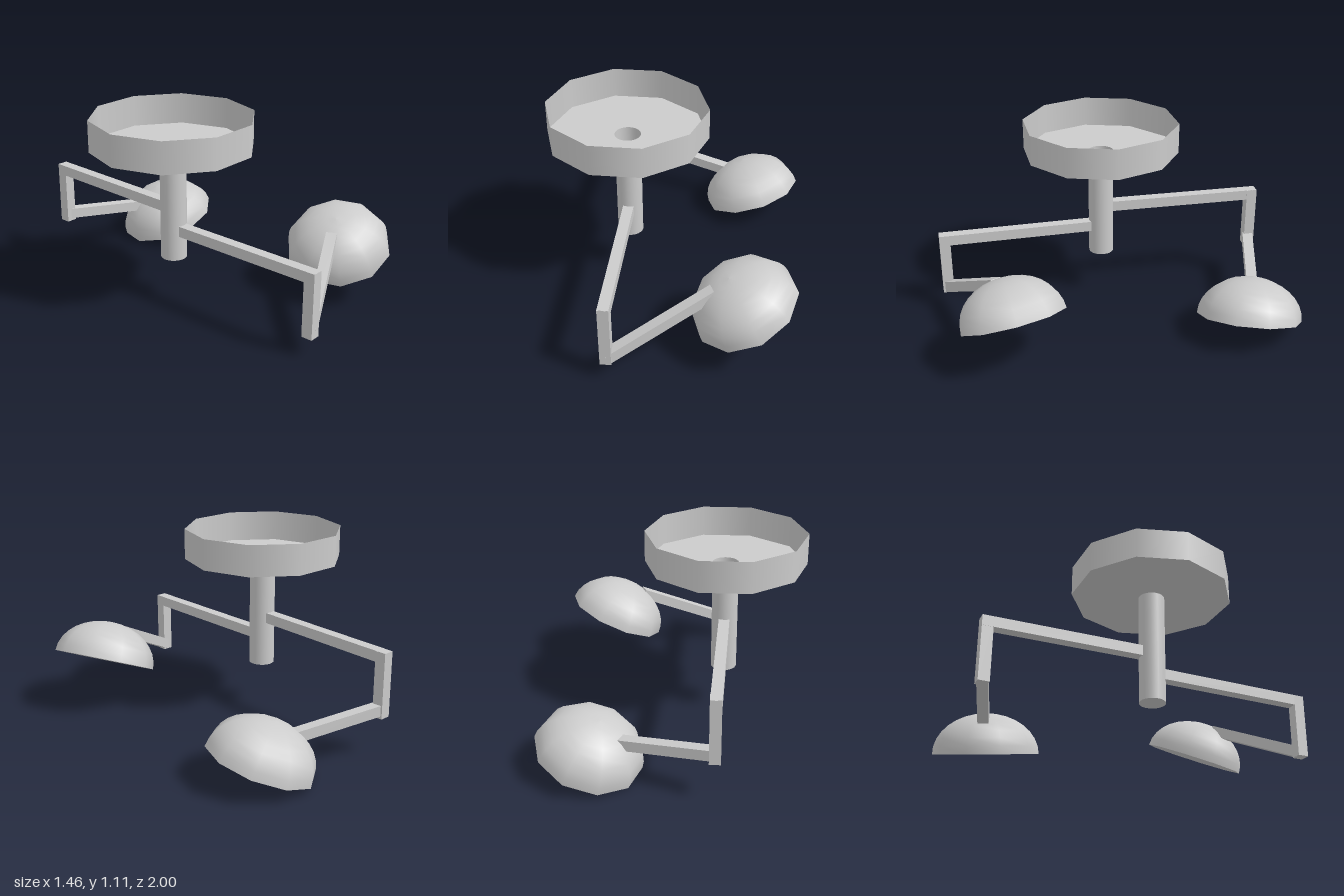
import * as THREE from 'three';

const material = new THREE.MeshStandardMaterial({ color: 0xcccccc, side: THREE.DoubleSide });
const HUB_X = -0.27, HUB_Z = 0.012;

function addMesh(parent, name, geometry) {
  const mesh = new THREE.Mesh(geometry, material);
  mesh.name = name;
  parent.add(mesh);
  return mesh;
}

// Square bar running from point a to point b
function addBar(parent, name, a, b, size = 0.062) {
  const from = new THREE.Vector3(...a), to = new THREE.Vector3(...b);
  const bar = addMesh(parent, name, new THREE.BoxGeometry(size, size, from.distanceTo(to)));
  bar.position.copy(from).add(to).multiplyScalar(0.5);
  bar.lookAt(to);
}

// Ten-sided dome with a flat light face, tilted so its crown points along up
function addLamp(parent, name, center, up, radius = 0.304, height = 0.237) {
  const lamp = new THREE.Group();
  lamp.name = name;
  const rows = 8, profile = [];
  for (let i = 0; i <= rows; i++) {
    const t = (i / rows) * Math.PI / 2;
    profile.push(new THREE.Vector2(i === rows ? 0 : radius * Math.cos(t), height * Math.sin(t)));
  }
  addMesh(lamp, 'lampDome', new THREE.LatheGeometry(profile, 10, Math.PI / 2));
  addMesh(lamp, 'lampFace', new THREE.CircleGeometry(radius, 10).rotateX(Math.PI / 2));
  lamp.position.set(...center);
  lamp.quaternion.setFromUnitVectors(new THREE.Vector3(0, 1, 0), new THREE.Vector3(...up).normalize());
  parent.add(lamp);
}

export function createModel() {
  const model = new THREE.Group();
  model.name = 'surgicalLamp';

  // Ceiling canopy: an open-topped, thin-walled ten-sided dish
  const canopy = new THREE.Group();
  canopy.name = 'ceilingCanopy';
  canopy.position.set(HUB_X, 0.935, HUB_Z);
  const wall = new THREE.CylinderGeometry(0.462, 0.462, 0.18, 10, 1, true);
  addMesh(canopy, 'canopyWall', wall.rotateY(Math.PI / 2).translate(0, 0.09, 0));
  const floor = new THREE.Shape();
  for (let i = 0; i < 10; i++) {
    const t = (i / 10) * Math.PI * 2;
    floor[i ? 'lineTo' : 'moveTo'](0.462 * Math.cos(t), 0.462 * Math.sin(t));
  }
  floor.closePath();
  floor.holes.push(new THREE.Path().absarc(0, 0, 0.075, 0, Math.PI * 2, true));
  addMesh(canopy, 'canopyFloor', new THREE.ShapeGeometry(floor, 12).rotateX(Math.PI / 2));
  model.add(canopy);

  // Central post: hollow, closed at the bottom
  const post = new THREE.Group();
  post.name = 'post';
  post.position.set(HUB_X, 0, HUB_Z);
  addMesh(post, 'postTube', new THREE.CylinderGeometry(0.075, 0.075, 0.658, 24, 1, true).translate(0, 0.606, 0));
  addMesh(post, 'postCap', new THREE.CircleGeometry(0.075, 24).rotateX(Math.PI / 2).translate(0, 0.277, 0));
  model.add(post);

  // Each arm: boom from the post, vertical drop, sloping strut into the lamp
  const arms = [
    { name: 'front', end: [-0.27, 0.968], y: 0.454, dropTo: 0.108, elbow: 0.135, s: 1,
      tip: [0.278, 0.42, 0.72], lamp: [0.447, 0.284, 0.66], up: [-0.4, 0.9, 0.15] },
    { name: 'rear', end: [-0.24, -0.942], y: 0.576, dropTo: 0.23, elbow: 0.278, s: -1,
      tip: [0.27, 0.222, -0.783], lamp: [0.444, 0.105, -0.71], up: [-0.31, 0.94, -0.15] },
  ];
  for (const { name, end: [x, z], y, dropTo, elbow, s, tip, lamp, up } of arms) {
    const arm = new THREE.Group();
    arm.name = name + 'Arm';
    addBar(arm, 'boom', [HUB_X, y, HUB_Z], [x, y, z + s * 0.031]);
    const drop = addMesh(arm, 'drop', new THREE.BoxGeometry(0.062, y + 0.03 - dropTo, 0.064));
    drop.position.set(x, (y + 0.03 + dropTo) / 2, z);
    addBar(arm, 'strut', [x, elbow, z], tip);
    addLamp(arm, name + 'Lamp', lamp, up);
    model.add(arm);
  }
  return model;
}
